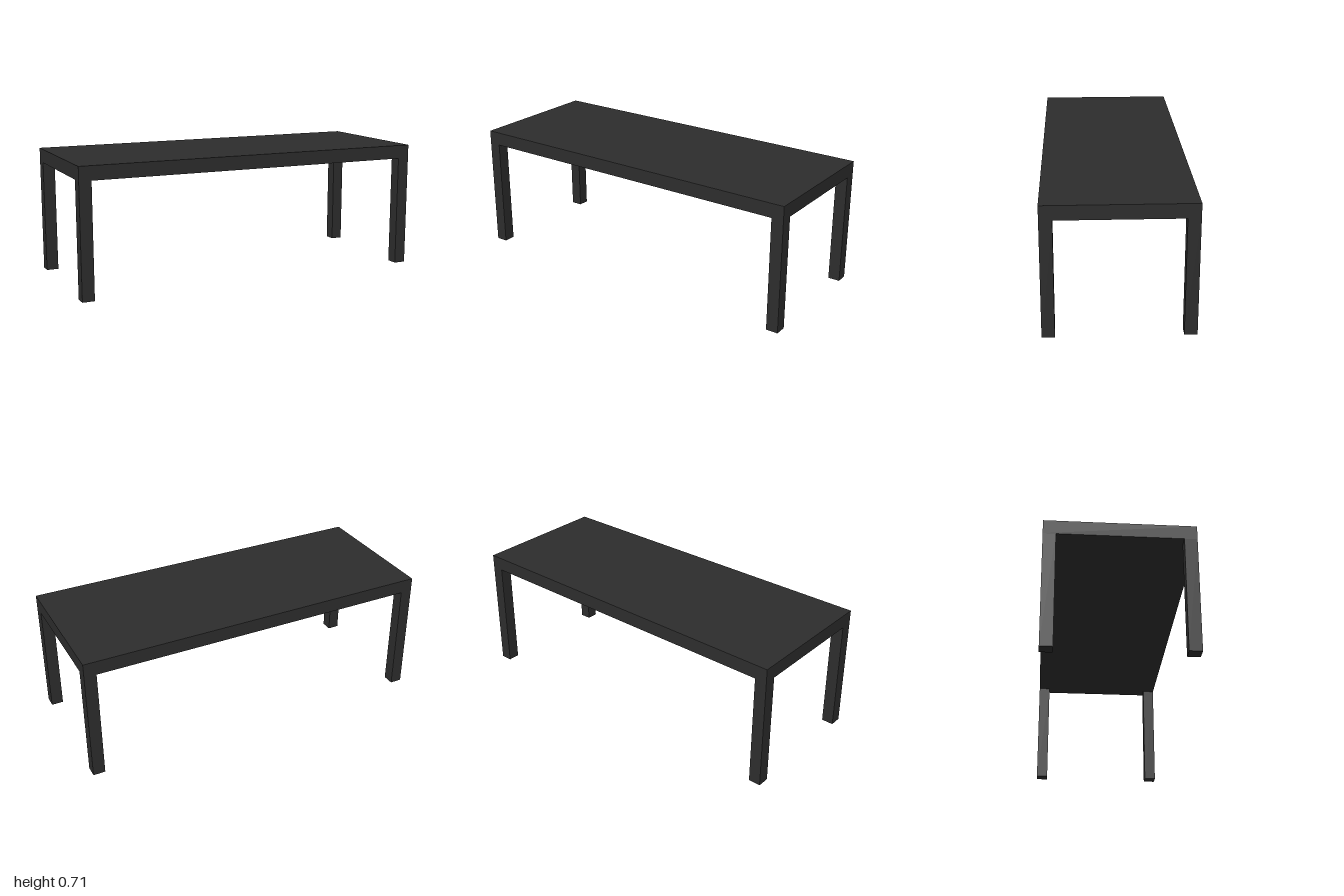
import * as THREE from 'three';

export function createModel() {
  const group = new THREE.Group();
  group.name = 'table';
  const charcoal = new THREE.MeshStandardMaterial({ color: 0x2d2d2d });
  charcoal.name = 'charcoal';

  const length = 2, depth = 0.784, height = 0.708, slab = 0.077, leg = 0.067;

  const addBox = (name, w, h, d, x, y, z) => {
    const mesh = new THREE.Mesh(new THREE.BoxGeometry(w, h, d), charcoal);
    mesh.name = name;
    mesh.position.set(x, y, z);
    group.add(mesh);
  };

  // Solid top slab
  addBox('tableTop', length, slab, depth, 0, height - slab / 2, 0);

  // Four square legs, flush with the corners of the top
  const legHeight = height - slab;
  for (const [sx, side] of [[1, 'Left'], [-1, 'Right']]) {
    for (const [sz, end] of [[1, 'front'], [-1, 'back']]) {
      addBox(`${end}${side}Leg`, leg, legHeight, leg,
        sx * (length - leg) / 2, legHeight / 2, sz * (depth - leg) / 2);
    }
  }
  return group;
}
